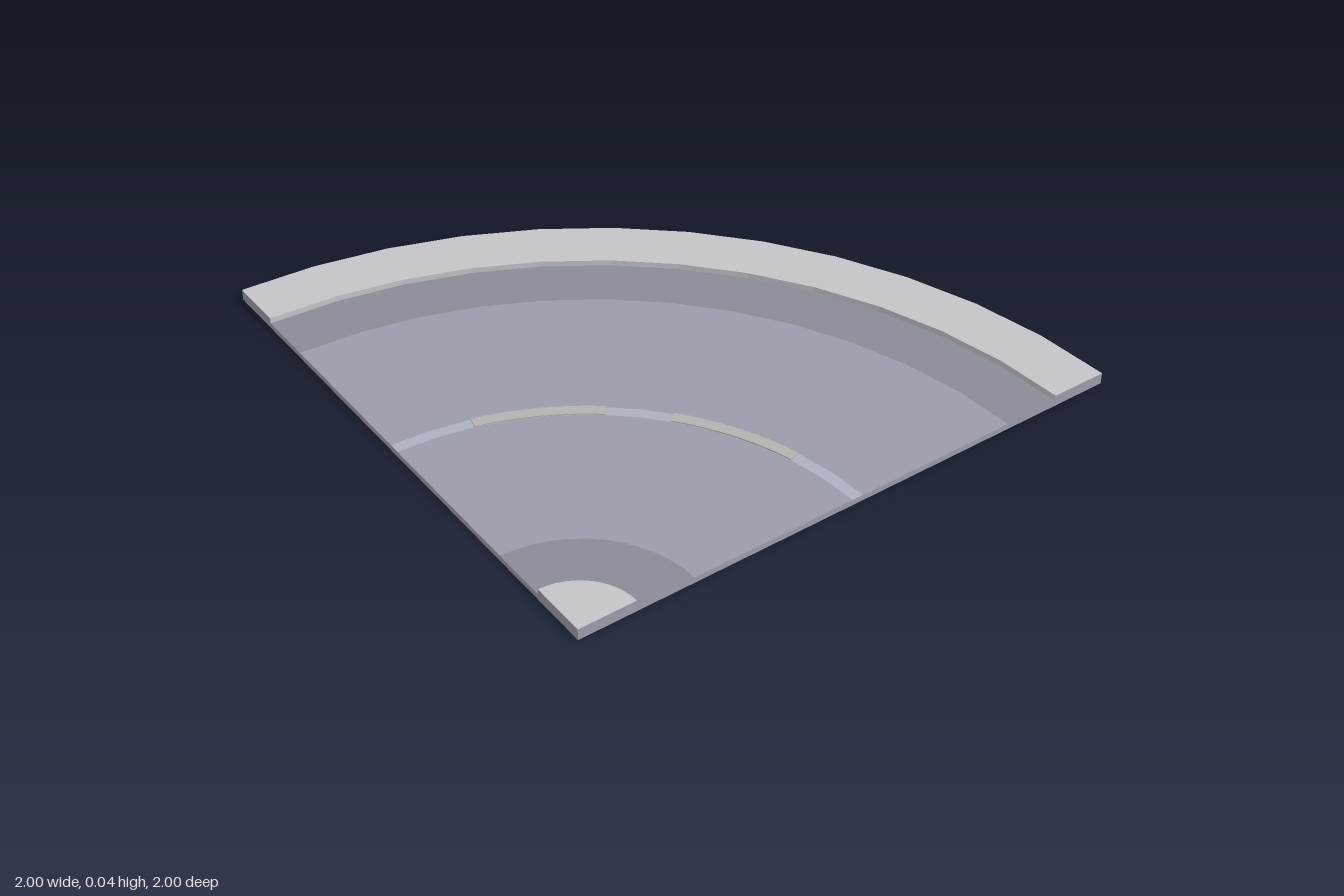
import * as THREE from 'three';

const SEGMENTS = 12;
const ROAD = 0.02, CURB = 0.04;

const material = (color) =>
  new THREE.MeshStandardMaterial({ color, flatShading: true });

export function createModel() {
  const group = new THREE.Group();
  const curbMat = material(0xc4c3c8);
  const roadMat = material(0x9b9ca9);
  const gutterMat = material(0x898b95);
  const lineMat = material(0xadb1c0);
  const dashMat = material(0xb2b2b0);

  // All parts turn about the corner at x = 1, z = 1
  const add = (name, geometry, mat) => {
    const mesh = new THREE.Mesh(geometry.translate(1, 0, 1), mat);
    mesh.name = name;
    group.add(mesh);
  };

  // Quarter-turn surface from a [radius, height] profile, running from outside in
  const sweep = (name, profile, mat) => add(name, new THREE.LatheGeometry(
    profile.map(([r, y]) => new THREE.Vector2(r, y)), SEGMENTS, Math.PI, Math.PI / 2), mat);
  const band = (name, outer, inner, mat) =>
    sweep(name, [[outer, ROAD], [inner, ROAD]], mat);

  // Curbs with their walls
  sweep('outerCurb', [[2, 0], [2, CURB], [1.8, CURB], [1.8, ROAD]], curbMat);
  sweep('innerCurb', [[0.2, ROAD], [0.2, CURB], [0, CURB]], curbMat);

  // Flat bands of the roadway
  band('outerGutter', 1.8, 1.6, gutterMat);
  band('outerLane', 1.6, 1.02, roadMat);
  band('centreLine', 1.02, 0.98, lineMat);
  band('innerLane', 0.98, 0.4, roadMat);
  band('innerGutter', 0.4, 0.2, gutterMat);

  // Underside
  sweep('underside', [[0, 0], [2, 0]], roadMat);

  // Cut ends, shaped like the road's cross-section
  const section = [[0, 0], [2, 0], [2, CURB], [1.8, CURB], [1.8, ROAD],
    [0.2, ROAD], [0.2, CURB], [0, CURB]];
  const endFace = (side) => new THREE.ShapeGeometry(
    new THREE.Shape(section.map(([r, y]) => new THREE.Vector2(side * r, y))));
  add('frontEnd', endFace(-1), roadMat);
  add('sideEnd', endFace(1).rotateY(Math.PI / 2), roadMat);

  // Raised dashes on the centre line
  for (const start of [15, 51]) {
    const a = Math.PI - THREE.MathUtils.degToRad(start + 24);
    const b = Math.PI - THREE.MathUtils.degToRad(start);
    const shape = new THREE.Shape();
    shape.absarc(0, 0, 1.02, a, b, false);
    shape.absarc(0, 0, 0.98, b, a, true);
    const dash = new THREE.ExtrudeGeometry(shape,
      { depth: 0.004, bevelEnabled: false, curveSegments: 4 });
    add('lineDash', dash.rotateX(-Math.PI / 2).translate(0, ROAD, 0), dashMat);
  }

  return group;
}
